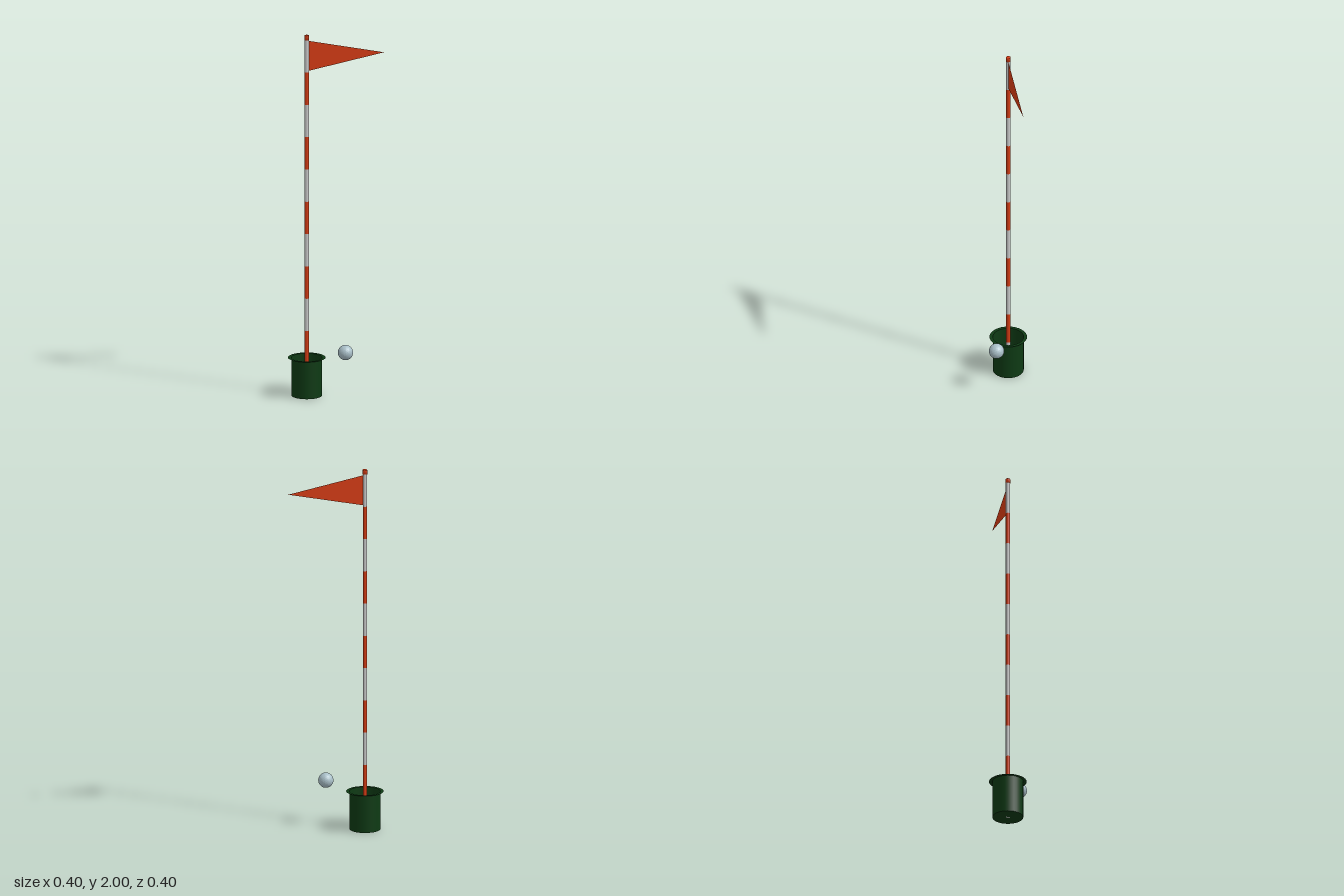
import * as THREE from 'three';

const mat = (color, extra = {}) => new THREE.MeshStandardMaterial({ color, ...extra });

function add(parent, name, geometry, material, y = 0) {
  const mesh = new THREE.Mesh(geometry, material);
  mesh.name = name;
  mesh.position.y = y;
  parent.add(mesh);
  return mesh;
}

export function createModel() {
  const root = new THREE.Group();
  root.name = 'golfHole';

  const green = mat(0x0e3a14, { side: THREE.DoubleSide });
  const red = mat(0xd63c14);
  const white = mat(0xcccccc);
  const flagRed = mat(0xd63c14, { side: THREE.DoubleSide });

  // Everything around the pole shares its axis
  const hole = new THREE.Group();
  hole.name = 'holeAndPole';
  hole.position.set(-0.1, 0, 0.098);
  root.add(hole);

  // Open cup: floor, wall and flat rim
  const cupR = 0.083, cupH = 0.21;
  add(hole, 'cupWall', new THREE.CylinderGeometry(cupR, cupR, cupH, 32, 1, true), green, cupH / 2);
  add(hole, 'cupFloor', new THREE.CircleGeometry(cupR, 32).rotateX(-Math.PI / 2), green);
  add(hole, 'cupRim', new THREE.RingGeometry(cupR, 0.101, 32).rotateX(-Math.PI / 2), green, cupH);

  // Striped pole, white at both ends
  const bands = 11, poleTop = 1.975, bandH = poleTop / bands;
  for (let i = 0; i < bands; i++) {
    add(hole, 'poleBand' + (i + 1), new THREE.CylinderGeometry(0.0115, 0.0115, bandH, 16),
      i % 2 ? red : white, (i + 0.5) * bandH);
  }

  // Cap with a slightly bevelled top
  const capProfile = [[0, 0], [0.0135, 0], [0.0135, 0.021], [0.011, 0.025], [0, 0.025]]
    .map(([r, y]) => new THREE.Vector2(r, y));
  add(hole, 'poleCap', new THREE.LatheGeometry(capProfile, 16), red, poleTop);

  // Triangular pennant, flying diagonally to the back left
  const pennant = new THREE.Shape([
    new THREE.Vector2(0.011, -0.083), new THREE.Vector2(0.421, 0), new THREE.Vector2(0.011, 0.083),
  ]);
  add(hole, 'flag', new THREE.ShapeGeometry(pennant), flagRed, 1.885).rotation.y = Math.PI / 4;

  // Faceted ball beside the cup
  const ball = add(root, 'ball', new THREE.IcosahedronGeometry(0.041, 4),
    mat(0xa9bfc8, { flatShading: true }), 0.255);
  ball.position.x = 0.108;
  ball.position.z = 0.034;

  return root;
}
